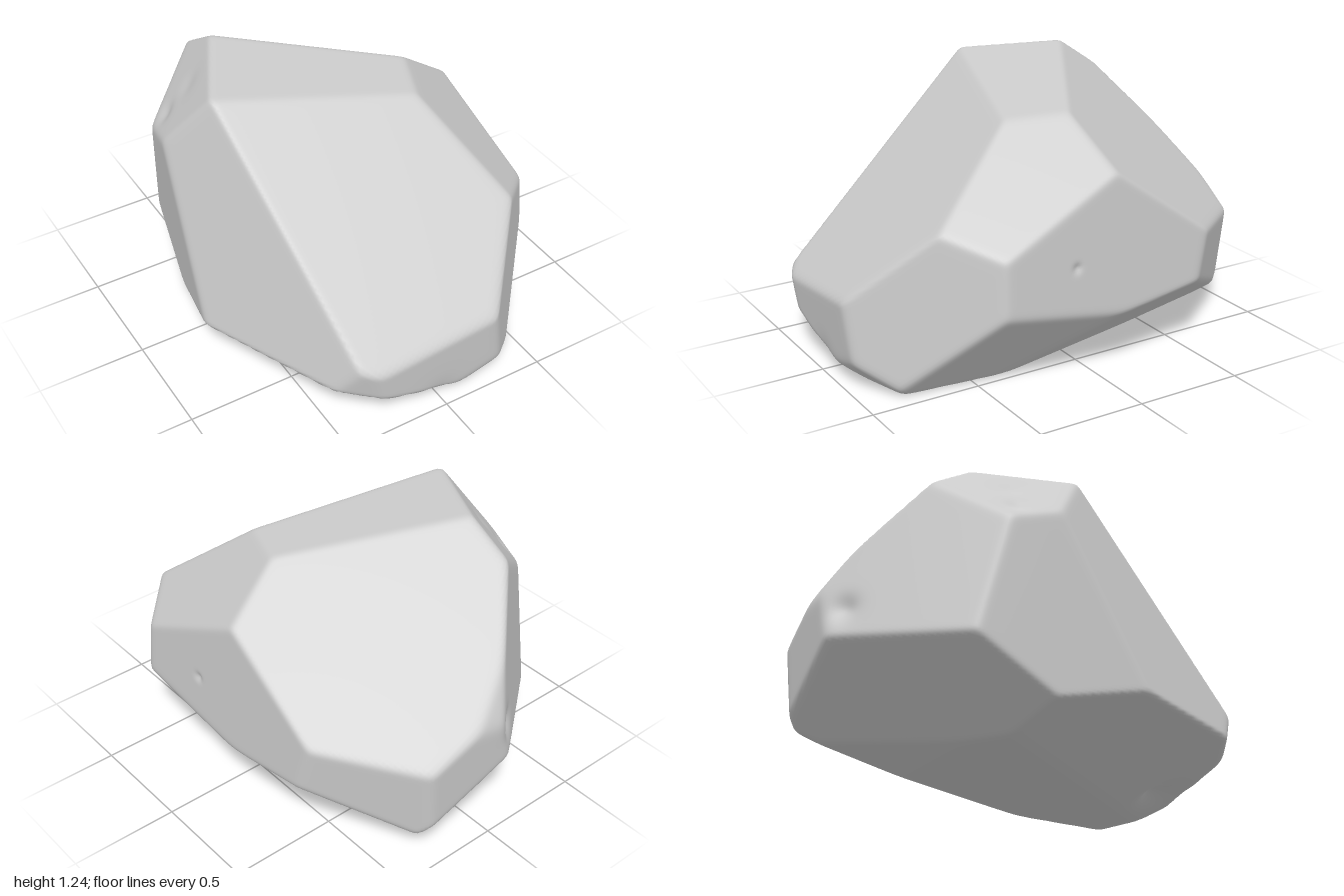
import * as THREE from 'three';
import { mergeVertices } from 'three/addons/utils/BufferGeometryUtils.js';

const CENTRE = new THREE.Vector3(0, 0.55, 0);
const SHARPNESS = 110; // higher gives crisper edges between the facets

// Each facet of the boulder is a plane: outward direction x, y, z and offset
const FACETS = [
  [-0.051, 0.326, 0.295, 0.416],  // broad front slope
  [0.035, 0.377, 0.043, 0.436],   // top
  [0.3, 0.515, -0.366, 0.703],    // back slope
  [0.091, 0.107, 0.044, 0.156],   // upper left shoulder
  [1, 0.06, -0.054, 0.741],       // left flank
  [1, 0.1, 0.993, 1.28],          // front left corner
  [-0.017, -0.074, 1, 0.972],     // front toe
  [0.2, -0.72, 0.69, 0.645],      // bevel under the toe
  [-0.6, -0.2, 0.8, 0.935],       // front right corner
  [-1, 0.26, 0.38, 0.87],         // front right flank
  [-1, -0.053, -0.2, 0.712],      // right flank
  [-0.634, 0.12, -0.773, 0.878],  // back right flank
  [-0.101, 0.086, -0.047, 0.163], // upper right shoulder
  [1, -0.135, -0.851, 1.096],     // back left corner
  [0.071, -0.067, -1, 0.965],     // back end
  [0, 0.45, -0.9, 1.17],          // bevel above the back end
  [0.234, -0.178, 0.023, 0.116],  // left undercut
  [0.132, -0.167, -0.028, 0.051], // back left undercut
  [-0.079, -0.177, -0.125, 0.066], // back undercut
  [0, -1, -0.16, 0.064],          // shallow rise at the back of the base
  [-0.094, -0.31, 0.05, 0.025],   // front right undercut
  [0, -1, 0, 0],                  // base
].map(([x, y, z, offset]) => {
  const normal = new THREE.Vector3(x, y, z);
  return normal.divideScalar(offset - normal.dot(CENTRE));
});

// Small chips in the surface
const chip = (x, y, z, size, depth) => ({ at: new THREE.Vector3(x, y, z), size, depth });
const CHIPS = [
  chip(-0.02, 0.04, 0.86, 0.09, 0.07),
  chip(-0.59, 0.93, -0.38, 0.05, 0.025),
  chip(-0.47, 1.06, -0.33, 0.06, 0.02),
  chip(-0.13, 0.5, -0.94, 0.06, 0.03),
  chip(0.73, 0.54, 0.14, 0.02, 0.02),
];

// Distance from the centre to the softened facets along a direction
function radius(dir) {
  let sum = 0;
  for (const n of FACETS) sum += Math.max(0, n.dot(dir)) ** SHARPNESS;
  return sum ** (-1 / SHARPNESS);
}

// Sphere whose vertices are moved onto the facets, then dented by the chips
function boulderGeometry() {
  let geo = new THREE.IcosahedronGeometry(1, 70);
  geo.deleteAttribute('normal');
  geo.deleteAttribute('uv');
  geo = mergeVertices(geo, 1e-5);
  const pos = geo.attributes.position;
  const dir = new THREE.Vector3();
  const p = new THREE.Vector3();
  for (let i = 0; i < pos.count; i++) {
    dir.fromBufferAttribute(pos, i).normalize();
    p.copy(dir).multiplyScalar(radius(dir)).add(CENTRE);
    let dent = 0;
    for (const { at, size, depth } of CHIPS) {
      dent += depth * Math.exp(-p.distanceToSquared(at) / (size * size));
    }
    p.addScaledVector(dir, -dent);
    pos.setXYZ(i, p.x, p.y, p.z);
  }
  geo.computeVertexNormals();
  return geo;
}

export function createModel() {
  const group = new THREE.Group();
  group.name = 'rock';
  const boulder = new THREE.Mesh(
    boulderGeometry(),
    new THREE.MeshStandardMaterial({ color: 0xcccccc })
  );
  boulder.name = 'boulder';
  group.add(boulder);
  return group;
}
